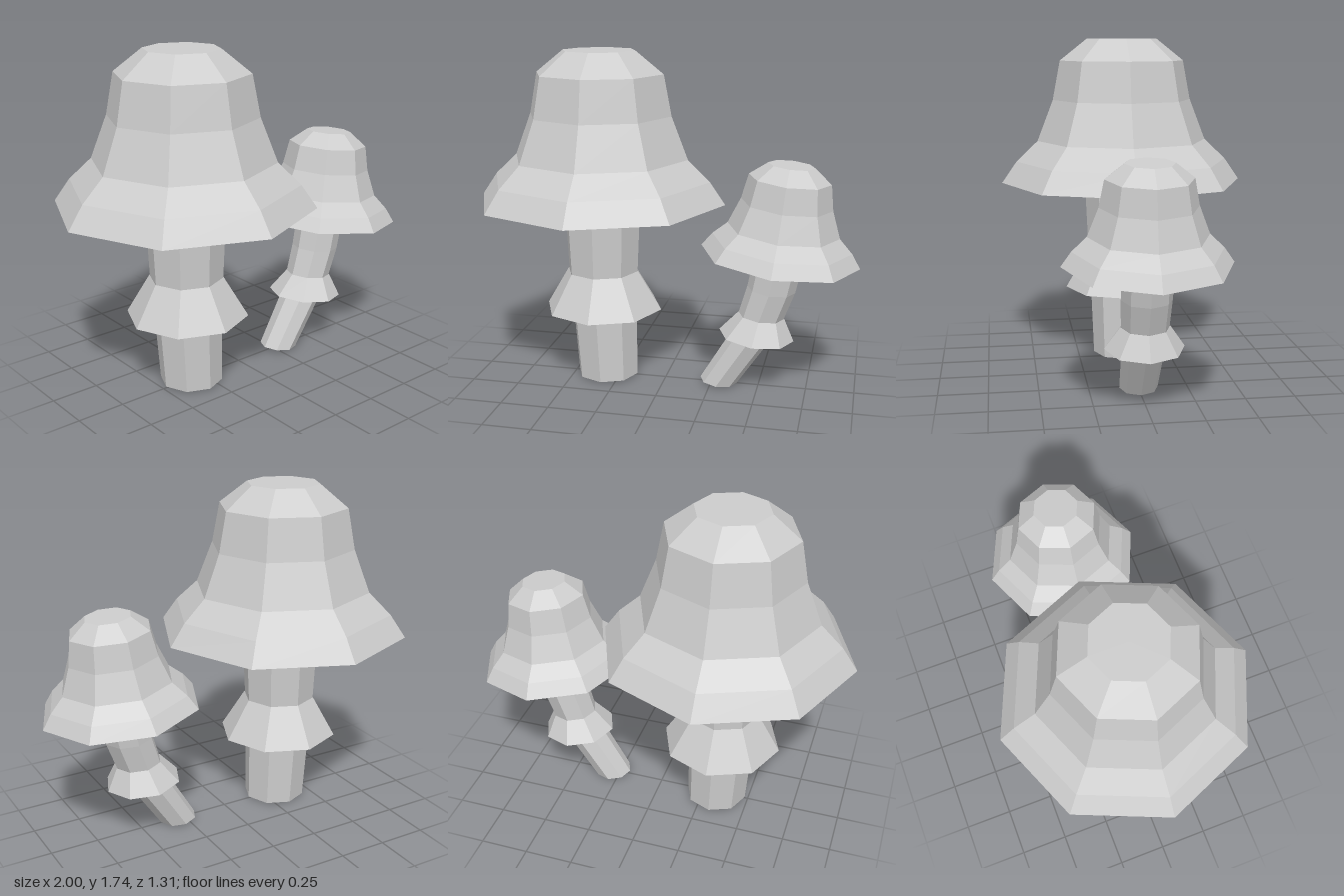
import * as THREE from 'three';

const SIDES = 8;
const grey = new THREE.MeshStandardMaterial({ color: 0xcccccc, flatShading: true, side: THREE.DoubleSide });
grey.name = 'pale grey';

// Faceted skin through octagonal rings [centre x, centre y, radius], each tilted about z
function loft(name, rings, tilt = 0) {
  const pos = [], idx = [];
  for (const [x, y, r] of rings) {
    for (let i = 0; i < SIDES; i++) {
      const a = (i / SIDES) * Math.PI * 2;
      const u = Math.sin(a) * r;
      pos.push(x + u * Math.cos(tilt), y + u * Math.sin(tilt), Math.cos(a) * r);
    }
  }
  for (let k = 0; k < rings.length - 1; k++) {
    for (let i = 0; i < SIDES; i++) {
      const j = (i + 1) % SIDES;
      const a = k * SIDES + i, b = k * SIDES + j, c = b + SIDES, d = a + SIDES;
      idx.push(a, b, c, a, c, d);
    }
  }
  const indexed = new THREE.BufferGeometry();
  indexed.setAttribute('position', new THREE.Float32BufferAttribute(pos, 3));
  indexed.setIndex(idx);
  const geo = indexed.toNonIndexed();
  geo.computeVertexNormals();
  const mesh = new THREE.Mesh(geo, grey);
  mesh.name = name;
  return mesh;
}

// Bell-shaped cap: shallow underside, flared rim, flat top; origin at the rim centre
const capRings = [
  [0, -0.037, 0.19], [0, 0, 0.655], [0, 0.115, 0.575], [0, 0.225, 0.46],
  [0, 0.445, 0.375], [0, 0.655, 0.335], [0, 0.77, 0.19], [0, 0.77, 0],
];

function makeMushroom(name, { cap, stem, skirt, tilt }) {
  const group = new THREE.Group();
  group.name = name;
  const capMesh = loft('cap', capRings);
  capMesh.position.set(cap.x, cap.y, 0);
  capMesh.rotation.z = tilt;
  capMesh.scale.setScalar(cap.scale);
  group.add(capMesh, loft('stem', stem, tilt), loft('skirt', skirt, tilt));
  return group;
}

export function createModel() {
  const model = new THREE.Group();
  model.name = 'mushrooms';
  model.add(
    // Tall upright mushroom
    makeMushroom('largeMushroom', {
      cap: { x: -0.345, y: 0.973, scale: 1 },
      stem: [[-0.32, 0.01, 0.163], [-0.335, 0.385, 0.176], [-0.341, 0.59, 0.188], [-0.341, 0.945, 0.204]],
      skirt: [[-0.338, 0.385, 0.313], [-0.341, 0.59, 0.19]],
      tilt: 0,
    }),
    // Small leaning mushroom with a bent stem
    makeMushroom('smallMushroom', {
      cap: { x: 0.594, y: 0.717, scale: 0.622 },
      stem: [[0.288, 0.013, 0.098], [0.455, 0.275, 0.108], [0.508, 0.395, 0.118], [0.556, 0.54, 0.124], [0.59, 0.705, 0.127]],
      skirt: [[0.484, 0.283, 0.196], [0.508, 0.395, 0.12]],
      tilt: -0.1,
    }),
  );
  return model;
}
